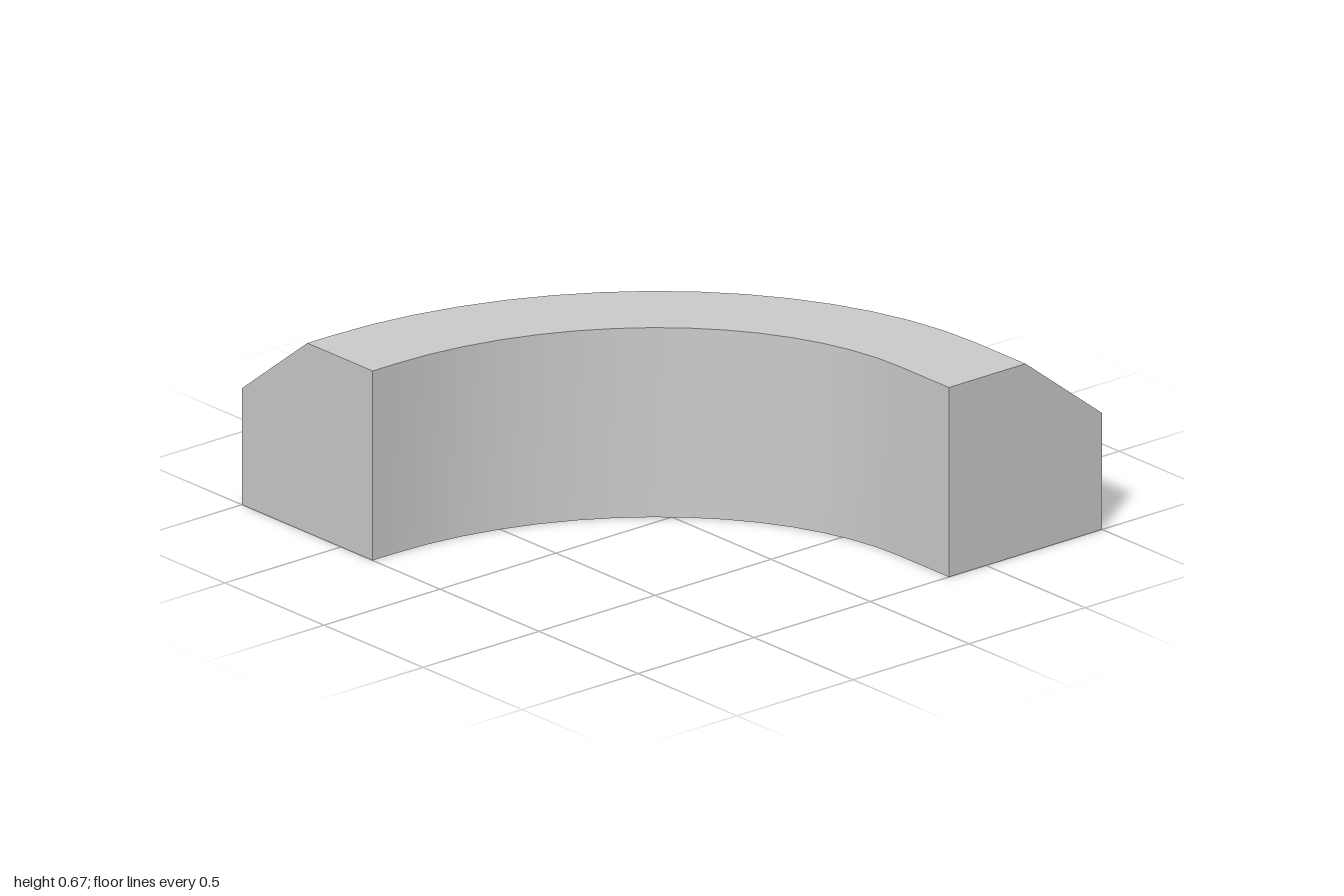
import * as THREE from 'three';
import { toCreasedNormals } from 'three/addons/utils/BufferGeometryUtils.js';

// Cross-section as [distance inward from the outer edge, height]
const PROFILE = [[0, 0], [0, 0.41], [0.33, 0.667], [0.66, 0.667], [0.66, 0]];

// Outer edge: a quarter bend with a short straight run at each end
function outerPath() {
  const cx = 0.75, cz = 0.9, a = 1.75, b = 1.9, segments = 15;
  const path = [{ x: 1, z: -1, nx: 0, nz: 1 }];
  for (let i = 0; i <= segments; i++) {
    const t = (i / segments) * Math.PI / 2;
    const s = Math.sin(t), c = Math.cos(t);
    const len = Math.hypot(s / a, c / b);
    path.push({ x: cx - a * s, z: cz - b * c, nx: s / a / len, nz: c / b / len });
  }
  path.push({ x: -1, z: 1, nx: 1, nz: 0 });
  return path;
}

// Sweep the closed profile along the path and cap both ends
function sweep(path, profile) {
  const n = profile.length, last = (path.length - 1) * n;
  const positions = [], index = [];
  for (const p of path) {
    for (const [d, y] of profile) positions.push(p.x + p.nx * d, y, p.z + p.nz * d);
  }
  for (let i = 0; i < path.length - 1; i++) {
    for (let j = 0; j < n; j++) {
      const k = (j + 1) % n;
      const a = i * n + j, b = i * n + k, c = b + n, d = a + n;
      index.push(a, d, c, a, c, b);
    }
  }
  for (let j = 1; j < n - 1; j++) {
    index.push(0, j, j + 1);
    index.push(last, last + j + 1, last + j);
  }
  const geometry = new THREE.BufferGeometry();
  geometry.setAttribute('position', new THREE.Float32BufferAttribute(positions, 3));
  geometry.setIndex(index);
  return toCreasedNormals(geometry, 0.4);
}

export function createModel() {
  const group = new THREE.Group();
  group.name = 'curvedCorner';
  const material = new THREE.MeshStandardMaterial({ color: 0xcccccc });
  // Solid curved block with a chamfered outer top edge
  const block = new THREE.Mesh(sweep(outerPath(), PROFILE), material);
  block.name = 'curvedBlock';
  group.add(block);
  return group;
}
